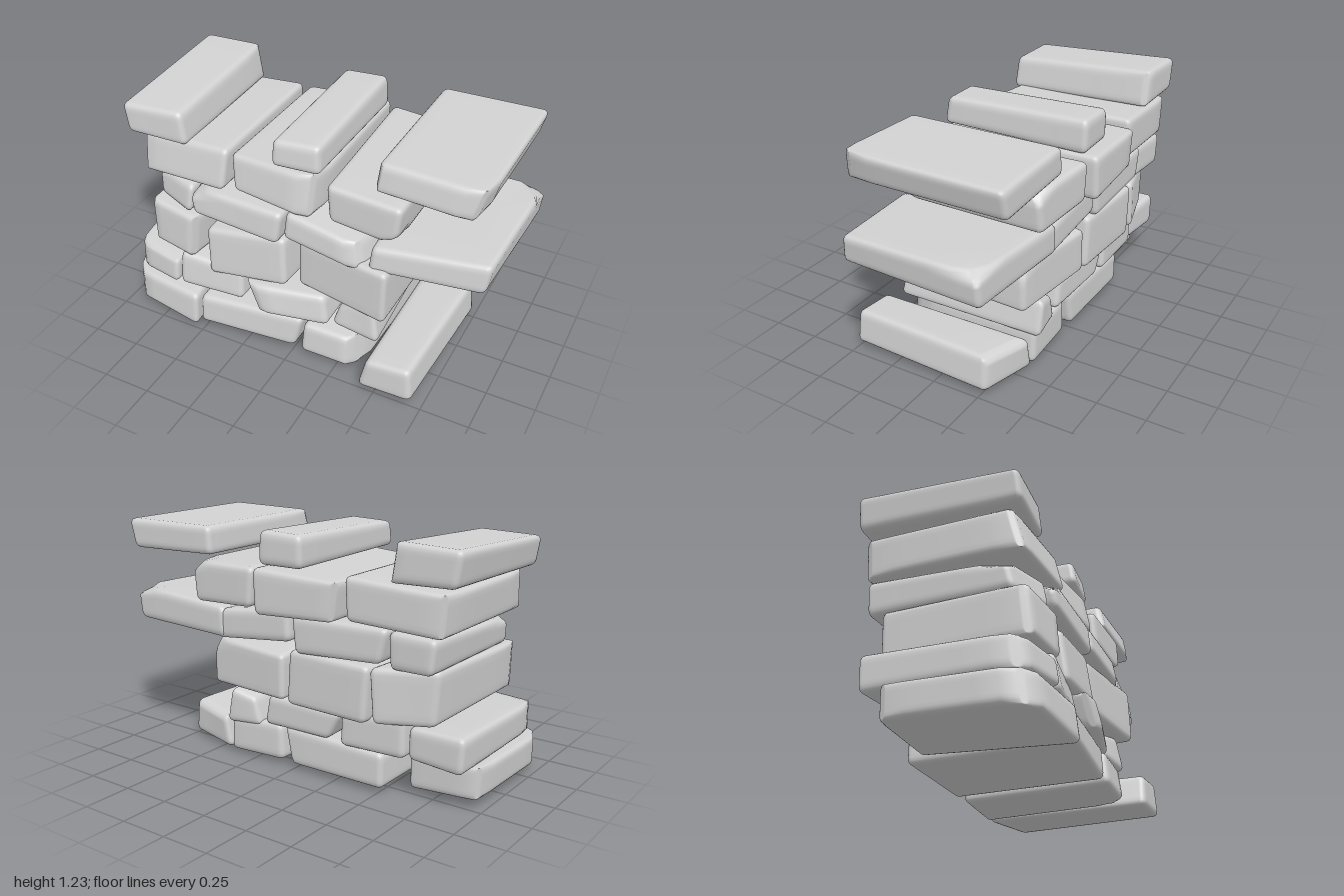
import * as THREE from 'three';
import { mergeVertices } from 'three/addons/utils/BufferGeometryUtils.js';

const stoneGrey = new THREE.MeshStandardMaterial({ color: 0xd2d2d2 });
stoneGrey.name = 'stoneGrey';

const mix = THREE.MathUtils.lerp;
const GRID = 10, EDGE = 2, RADIUS = 0.03;

// Place a grid line along one axis: fine steps in the rounded edge, even steps between
function gridLine(s, half) {
  const k = Math.round((s + 0.5) * GRID);
  if (k <= EDGE) return -half + (RADIUS * k) / EDGE;
  if (k >= GRID - EDGE) return half - (RADIUS * (GRID - k)) / EDGE;
  return mix(-half + RADIUS, half - RADIUS, (k - EDGE) / (GRID - 2 * EDGE));
}

// One worn block, a rounded box with chipped edges, warped to eight corners.
// front: x,y of bottom left, bottom right, top right, top left
// z: front left, front right, back left, back right
// back: shift of the back face's left x, right x, bottom y, top y, and its roll
// lean: z shift of the front's top edge
// chips: cutting planes in unit space as direction x,y,z and limit
function stone(name, front, z, back, lean, ...chips) {
  const [ax, ay, bx, by, cx, cy, dx, dy] = front;
  const [backLeft, backRight, backBottom, backTop, roll = 0] = back;
  const half = new THREE.Vector3(bx - ax + cx - dx, cy + dy - ay - by, z[0] + z[1] - z[2] - z[3]).multiplyScalar(0.25);
  const core = half.clone().subScalar(RADIUS);
  const box = new THREE.BoxGeometry(1, 1, 1, GRID, GRID, GRID);
  box.deleteAttribute('uv');
  box.deleteAttribute('normal');
  const geo = mergeVertices(box, 1e-4);
  const p = geo.attributes.position;
  const q = new THREE.Vector3(), inner = new THREE.Vector3(), dir = new THREE.Vector3();
  for (let i = 0; i < p.count; i++) {
    q.set(gridLine(p.getX(i), half.x), gridLine(p.getY(i), half.y), gridLine(p.getZ(i), half.z));
    inner.copy(q).clamp(core.clone().negate(), core);
    q.sub(inner).setLength(RADIUS).add(inner).divide(half);
    for (const [sx, sy, sz, limit] of chips) {
      dir.set(sx, sy, sz);
      const excess = q.dot(dir) - limit;
      if (excess > 0) q.addScaledVector(dir, -excess / dir.lengthSq());
    }
    const u = (q.x + 1) / 2, v = (q.y + 1) / 2, t = (1 - q.z) / 2;
    p.setXYZ(i,
      mix(mix(ax, bx, u), mix(dx, cx, u), v) + t * mix(backLeft, backRight, u),
      mix(mix(ay, by, u), mix(dy, cy, u), v) + t * (mix(backBottom, backTop, v) + roll * (u - 0.5)),
      mix(mix(z[0], z[1], u) + lean * v, mix(z[2], z[3], u), t));
  }
  geo.computeVertexNormals();
  const mesh = new THREE.Mesh(geo, stoneGrey);
  mesh.name = name;
  return mesh;
}

function course(name, ...stones) {
  const g = new THREE.Group();
  g.name = name;
  g.add(...stones);
  return g;
}

export function createModel() {
  const wall = new THREE.Group();
  wall.name = 'dryStoneWall';
  wall.add(
    course('baseCourse',
      stone('baseStoneLeft', [-0.99, 0.04, -0.54, 0.0, -0.54, 0.19, -1.0, 0.2], [0.44, 0.49, -0.27, -0.24], [0, -0.07, 0.02, 0.02], -0.02, [-1, 0, 1, 1.65], [-1, 0, -1, 1.8]),
      stone('baseStoneMidLeft', [-0.53, 0.03, 0.01, 0.03, 0.05, 0.21, -0.53, 0.19], [0.47, 0.42, -0.36, -0.36], [0, 0, 0, 0.02], -0.02),
      stone('baseStoneMidRight', [0.05, 0.03, 0.38, 0.02, 0.37, 0.19, 0.06, 0.2], [0.43, 0.42, -0.35, -0.36], [0.02, 0.03, 0, 0.02], -0.02, [1, 0, 1, 1.6]),
      stone('baseStoneRight', [0.41, 0.02, 0.7, 0.03, 0.68, 0.21, 0.45, 0.19], [0.51, 0.51, -0.36, -0.28], [0, 0.04, 0, 0.01], -0.01, [0, 0.5, -1, 1.35])),
    course('secondCourse',
      stone('secondStoneLeft', [-0.96, 0.21, -0.67, 0.22, -0.67, 0.36, -0.97, 0.37], [0.39, 0.45, -0.38, -0.36], [0, 0, 0, 0.02], -0.02, [-1, 0, 1, 1.7], [0, 1, 1, 1.8]),
      stone('secondStoneMidLeft', [-0.66, 0.22, -0.3, 0.21, -0.31, 0.37, -0.66, 0.41], [0.44, 0.4, -0.38, -0.38], [0, 0, 0, 0.01], -0.03),
      stone('secondStoneMidRight', [-0.2, 0.23, 0.19, 0.22, 0.16, 0.38, -0.28, 0.38], [0.48, 0.39, -0.38, -0.36], [-0.03, -0.01, -0.01, -0.01], -0.02, [-1, 0, 1, 1.75]),
      stone('secondStoneRight', [0.2, 0.23, 0.47, 0.22, 0.43, 0.41, 0.24, 0.37], [0.37, 0.4, -0.36, -0.39], [0, -0.06, -0.04, -0.04], -0.03, [-1, 1, 1, 2.3])),
    course('thirdCourse',
      stone('thirdStoneLeft', [-0.84, 0.42, -0.57, 0.4, -0.55, 0.64, -0.86, 0.66], [0.38, 0.42, -0.36, -0.44], [0.03, 0.05, -0.02, 0.01], -0.02, [-1, 0, 1, 1.8], [1, 0, 1, 1.8]),
      stone('thirdStoneMiddle', [-0.48, 0.34, -0.04, 0.4, -0.06, 0.66, -0.5, 0.6], [0.42, 0.4, -0.44, -0.42], [0, 0.03, 0, 0.02, -0.06], -0.03),
      stone('thirdStoneRight', [0.01, 0.41, 0.51, 0.4, 0.51, 0.69, 0.01, 0.68], [0.36, 0.44, -0.42, -0.36], [0, 0, -0.03, -0.07], -0.01, [1, 0.3, -1, 2.05])),
    course('fourthCourse',
      stone('fourthStoneLeft', [-0.83, 0.66, -0.6, 0.65, -0.59, 0.8, -0.85, 0.8], [0.29, 0.38, -0.44, -0.42], [0, 0, 0, 0.03], -0.03, [-1, 1, 1, 2.4]),
      stone('fourthStoneMidLeft', [-0.56, 0.68, -0.08, 0.65, -0.06, 0.82, -0.6, 0.83], [0.4, 0.41, -0.44, -0.44], [0, 0, -0.01, 0.01], -0.02, [-1, 0.5, 1, 2]),
      stone('fourthStoneMidRight', [-0.05, 0.7, 0.4, 0.65, 0.36, 0.79, -0.04, 0.84], [0.4, 0.43, -0.44, -0.44], [0, 0.02, -0.01, 0.01], -0.02, [1, 0, 1, 1.75]),
      stone('fourthStoneRight', [0.4, 0.66, 0.95, 0.67, 0.97, 0.82, 0.41, 0.79], [0.4, 0.33, -0.45, -0.42], [-0.05, 0.03, -0.01, 0.02], -0.02, [1, 0.8, -1, 2.3])),
    course('fifthCourse',
      stone('fifthStoneLeft', [-0.88, 0.83, -0.39, 0.85, -0.38, 1.06, -0.9, 1.03], [0.36, 0.38, -0.44, -0.46], [0, 0, 0, 0], -0.05, [-1, 0, 1, 1.85], [-1, 0, -1, 1.85]),
      stone('fifthStoneMiddle', [-0.35, 0.85, 0.1, 0.83, 0.11, 1.05, -0.38, 1.03], [0.34, 0.39, -0.5, -0.52], [0.01, 0, -0.01, 0], -0.04, [1, 0, 1, 1.75], [-1, 0, -1, 1.85]),
      stone('fifthStoneRight', [0.18, 0.85, 0.53, 0.83, 0.55, 1.03, 0.16, 1.04], [0.36, 0.38, -0.49, -0.46], [-0.03, 0, -0.01, 0], -0.01, [1, 0.6, -1, 2.2], [1, -1, 1, 2.5])),
    course('topCourse',
      stone('topStoneLeft', [-0.93, 1.04, -0.6, 1.03, -0.63, 1.2, -0.96, 1.19], [0.37, 0.35, -0.45, -0.45], [-0.01, 0, 0.02, 0.04], -0.01, [1, 0, -1, 1.85]),
      stone('topStoneMiddle', [-0.13, 1.06, 0.12, 1.06, 0.11, 1.2, -0.13, 1.19], [0.35, 0.33, -0.45, -0.46], [0, 0, -0.01, 0.02], -0.02, [1, 0, 1, 1.9]),
      stone('topStoneRight', [0.39, 1.07, 0.89, 1.06, 0.93, 1.21, 0.4, 1.21], [0.34, 0.36, -0.49, -0.51], [0, 0.01, 0, 0], -0.03, [1, 0, 1, 1.8], [-1, 0, 1, 1.9])));
  return wall;
}
